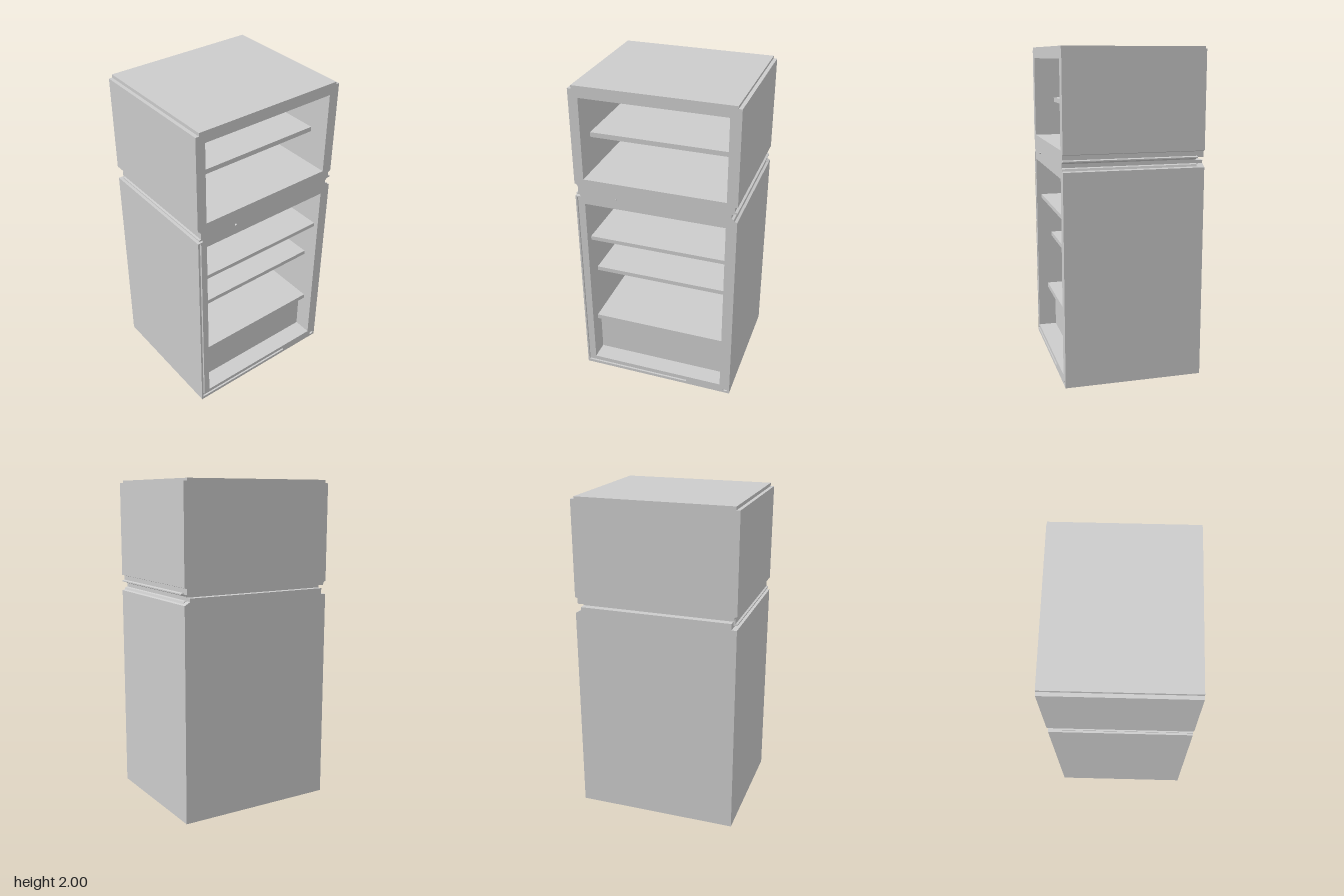
import * as THREE from 'three';

const FRONT = 0.42, BACK = -0.43;
const material = new THREE.MeshStandardMaterial({ color: 0xcccccc, flatShading: true });

// Cabinet outline: stepped top corners and a grooved waist with a thin lip on each side
const rightEdge = [
  [0.5, 0], [0.5, 1.3], [0.485, 1.305], [0.48, 1.318], [0.465, 1.322], [0.465, 1.345],
  [0.48, 1.355], [0.5, 1.357], [0.5, 1.364], [0.484, 1.368], [0.484, 1.395], [0.5, 1.4],
  [0.5, 1.985], [0.478, 1.985], [0.478, 2],
];
const leftEdge = [
  [-0.478, 2], [-0.478, 1.98], [-0.5, 1.98], [-0.5, 1.385], [-0.485, 1.378], [-0.48, 1.365],
  [-0.48, 1.326], [-0.492, 1.324], [-0.492, 1.317], [-0.468, 1.315], [-0.468, 1.302], [-0.5, 1.302], [-0.5, 0],
];

// Food compartments: left, bottom, right, top
const freezerBox = [-0.44, 1.42, 0.435, 1.93];
const fridgeBox = [-0.44, 0.06, 0.435, 1.255];

const toPoints = (list) => list.map(([x, y]) => new THREE.Vector2(x, y));
const rect = ([l, b, r, t]) => new THREE.Path(toPoints([[l, b], [l, t], [r, t], [r, b]]));
const cabinetOutline = [...rightEdge, ...leftEdge];

export function createModel() {
  const model = new THREE.Group();
  model.name = 'refrigeratorCabinet';

  function add(name, geometry, parent = model) {
    const mesh = new THREE.Mesh(geometry, material);
    mesh.name = name;
    parent.add(mesh);
    return mesh;
  }

  // Slab cut from an outline, spanning z0 to z1
  function slab(name, outline, holes, z0, z1) {
    const shape = new THREE.Shape(toPoints(outline));
    shape.holes.push(...holes);
    const geometry = new THREE.ExtrudeGeometry(shape, { depth: z1 - z0, bevelEnabled: false, curveSegments: 8 });
    geometry.translate(0, 0, z0);
    return add(name, geometry);
  }

  function box(name, [l, b, r, t], z0, z1, parent) {
    const geometry = new THREE.BoxGeometry(r - l, t - b, z1 - z0);
    geometry.translate((l + r) / 2, (b + t) / 2, (z0 + z1) / 2);
    return add(name, geometry, parent);
  }

  // Front frame with the L-shaped seal channel and the hinge socket
  const channel = new THREE.Path(toPoints([
    [-0.49, 0.02], [-0.49, 1.295], [-0.479, 1.295], [-0.479, 0.036], [0.205, 0.036], [0.205, 0.02],
  ]));
  const socket = new THREE.Path();
  socket.absellipse(0.471, 0.024, 0.015, 0.011, 0, Math.PI * 2, true);
  const openings = [rect(freezerBox), rect(fridgeBox)];
  slab('frontFrame', cabinetOutline, [...openings, channel, socket], FRONT - 0.012, FRONT);

  // Insulated walls and the rear wall of the compartments
  slab('cabinetWalls', cabinetOutline, openings, -0.37, FRONT - 0.012);
  slab('rearWall', cabinetOutline, [], -0.388, -0.37);

  // Two back panels with a narrow groove between them
  slab('lowerBackPanel', [
    [-0.5, 0], [0.5, 0], [0.5, 1.3], [0.465, 1.32], [0.465, 1.34], [-0.468, 1.34], [-0.468, 1.302], [-0.5, 1.302],
  ], [], BACK, -0.388);
  slab('upperBackPanel', [
    [-0.48, 1.36], [0.484, 1.36], [0.484, 1.395], ...rightEdge.slice(11), ...leftEdge.slice(0, 4), [-0.485, 1.378],
  ], [], BACK, -0.388);

  // Shelves: [name, left, bottom, top, lip top, front z]
  const shelves = [
    ['freezerShelf', -0.438, 1.64, 1.67, 1.71, 0.293],
    ['upperShelf', -0.43, 0.985, 1.01, 1.03, 0.39],
    ['middleShelf', -0.43, 0.713, 0.74, 0.762, 0.325],
    ['crisperCover', -0.438, 0.337, 0.368, 0.405, 0.355],
  ];
  for (const [name, left, bottom, top, lip, front] of shelves) {
    const shelf = new THREE.Group();
    shelf.name = name;
    box('shelfPlate', [left, bottom, 0.434, top], -0.369, front, shelf);
    box('shelfRearLip', [left, top, 0.434, lip], -0.369, -0.35, shelf);
    model.add(shelf);
  }

  // Closed front below the lowest shelf
  box('crisperFront', [-0.439, 0.06, 0.434, 0.337], 0.285, 0.303);

  // Small light switch button on the middle rail
  const button = new THREE.CylinderGeometry(0.006, 0.006, 0.02, 10);
  button.rotateX(Math.PI / 2);
  button.translate(-0.235, 1.32, FRONT);
  add('switchButton', button);

  return model;
}
